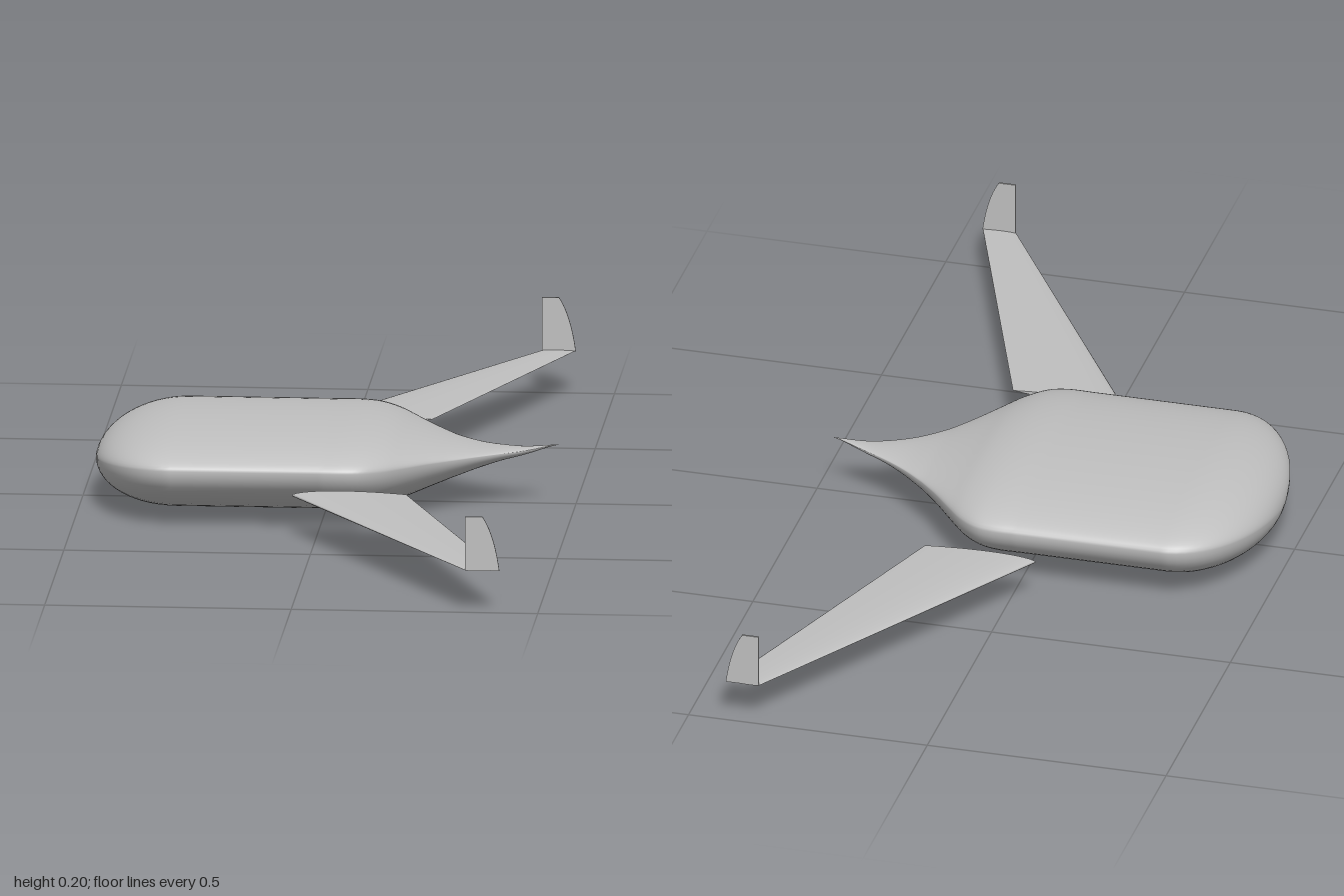
import * as THREE from 'three';

const grey = new THREE.MeshStandardMaterial({ color: 0xc0c0c0 });
grey.name = 'hull grey';

// Skin a list of rings (arrays of [x, y, z]) into a closed solid with smooth sides
function loft(rings, flip) {
  const n = rings[0].length, pos = [], index = [];
  const tri = (a, b, c) => index.push(...(flip ? [a, c, b] : [a, b, c]));
  rings.forEach(r => r.forEach(p => pos.push(...p)));
  for (let i = 0; i < rings.length - 1; i++) {
    for (let j = 0; j < n; j++) {
      const a = i * n + j, b = i * n + (j + 1) % n;
      tri(a, b, a + n);
      tri(b, b + n, a + n);
    }
  }
  // flat end caps on their own vertices
  [rings[0], rings[rings.length - 1]].forEach((ring, e) => {
    const s = pos.length / 3;
    ring.forEach(p => pos.push(...p));
    for (let j = 1; j < n - 1; j++) {
      if (e) tri(s, s + j, s + j + 1);
      else tri(s, s + j + 1, s + j);
    }
  });
  const g = new THREE.BufferGeometry();
  g.setAttribute('position', new THREE.Float32BufferAttribute(pos, 3));
  g.setIndex(index);
  g.computeVertexNormals();
  return g;
}

// Body cross-section: two half ellipses meeting at the side line
function bodyRing([x, w, top, mid, bottom]) {
  const ring = [], n = 64;
  for (let j = 0; j < n; j++) {
    const a = (j / n) * Math.PI * 2, s = Math.sin(a);
    ring.push([x, mid + s * (s > 0 ? top - mid : mid - bottom), -w * Math.cos(a)]);
  }
  return ring;
}

function buildBody() {
  const stations = [];
  // rounded nose
  for (let i = 0; i <= 16; i++) {
    const t = Math.max(0.002, (i / 16) * Math.PI / 2), s = Math.sin(t);
    stations.push([-0.3 - 0.172 * Math.cos(t), 0.308 * s, 0.09 + 0.088 * s, 0.09 + 0.035 * s, 0.09 - 0.087 * s]);
  }
  // straight middle and tapering tail: x, half width, top, side line, bottom
  const tail = [
    [0.0, 0.308, 0.178, 0.125, 0.003],
    [0.05, 0.308, 0.178, 0.125, 0.003],
    [0.09, 0.298, 0.175, 0.124, 0.007],
    [0.13, 0.265, 0.167, 0.121, 0.015],
    [0.17, 0.215, 0.153, 0.118, 0.028],
    [0.21, 0.163, 0.14, 0.115, 0.043],
    [0.25, 0.117, 0.129, 0.112, 0.058],
    [0.3, 0.073, 0.121, 0.111, 0.076],
    [0.35, 0.041, 0.119, 0.112, 0.092],
    [0.4, 0.019, 0.119, 0.115, 0.105],
    [0.465, 0.0005, 0.125, 0.1248, 0.1245],
  ];
  const at = i => tail[Math.min(Math.max(i, 0), tail.length - 1)];
  for (let i = 0; i < tail.length - 1; i++) {
    for (let k = 0; k < 4; k++) {
      stations.push(at(i).map((v, c) => c === 0
        ? THREE.MathUtils.lerp(v, at(i + 1)[0], k / 4)
        : catmull(at(i - 1)[c], v, at(i + 1)[c], at(i + 2)[c], k / 4)));
    }
  }
  stations.push(at(tail.length - 1));
  return loft(stations.map(bodyRing));
}

function catmull(a, b, c, d, t) {
  return 0.5 * (2 * b + (c - a) * t + (2 * a - 5 * b + 4 * c - d) * t * t + (3 * b - a - 3 * c + d) * t * t * t);
}

// Airfoil ring: round leading edge, sharp trailing edge
function airfoil(x0, x1, y, thick, trailY, z) {
  const ring = [], n = 28;
  for (let j = 0; j < n; j++) {
    const a = (j / n) * Math.PI * 2, u = (1 - Math.cos(a)) / 2;
    const h = thick * 1.3 * Math.sqrt(u) * (1 - u) * Math.sign(Math.sin(a));
    ring.push([x0 + (x1 - x0) * u, y + (trailY - y) * u + h, z]);
  }
  return ring;
}

export function createModel() {
  const model = new THREE.Group();
  model.name = 'flyingWingAircraft';
  const add = (geometry, name) => {
    const mesh = new THREE.Mesh(geometry, grey);
    mesh.name = name;
    model.add(mesh);
    return mesh;
  };

  add(buildBody(), 'body');

  // winglet outline with a curved rear edge
  const fin = new THREE.Shape();
  fin.moveTo(0.353, 0.09);
  fin.lineTo(0.422, 0.09);
  fin.quadraticCurveTo(0.412, 0.165, 0.388, 0.201);
  fin.lineTo(0.353, 0.201);
  fin.closePath();

  for (const side of [1, -1]) {
    const label = side > 0 ? 'front' : 'rear';
    // swept wing, detached from the body
    add(loft([
      airfoil(-0.05, 0.182, 0.088, 0.018, 0.094, side * 0.342),
      airfoil(0.352, 0.422, 0.09, 0.004, 0.091, side * 0.998),
    ], side > 0), label + 'Wing');
    // upright winglet at the tip
    const plate = new THREE.ExtrudeGeometry(fin, { depth: 0.004, bevelEnabled: false, curveSegments: 10 });
    add(plate, label + 'Winglet').position.z = side > 0 ? 0.996 : -1;
  }
  return model;
}
